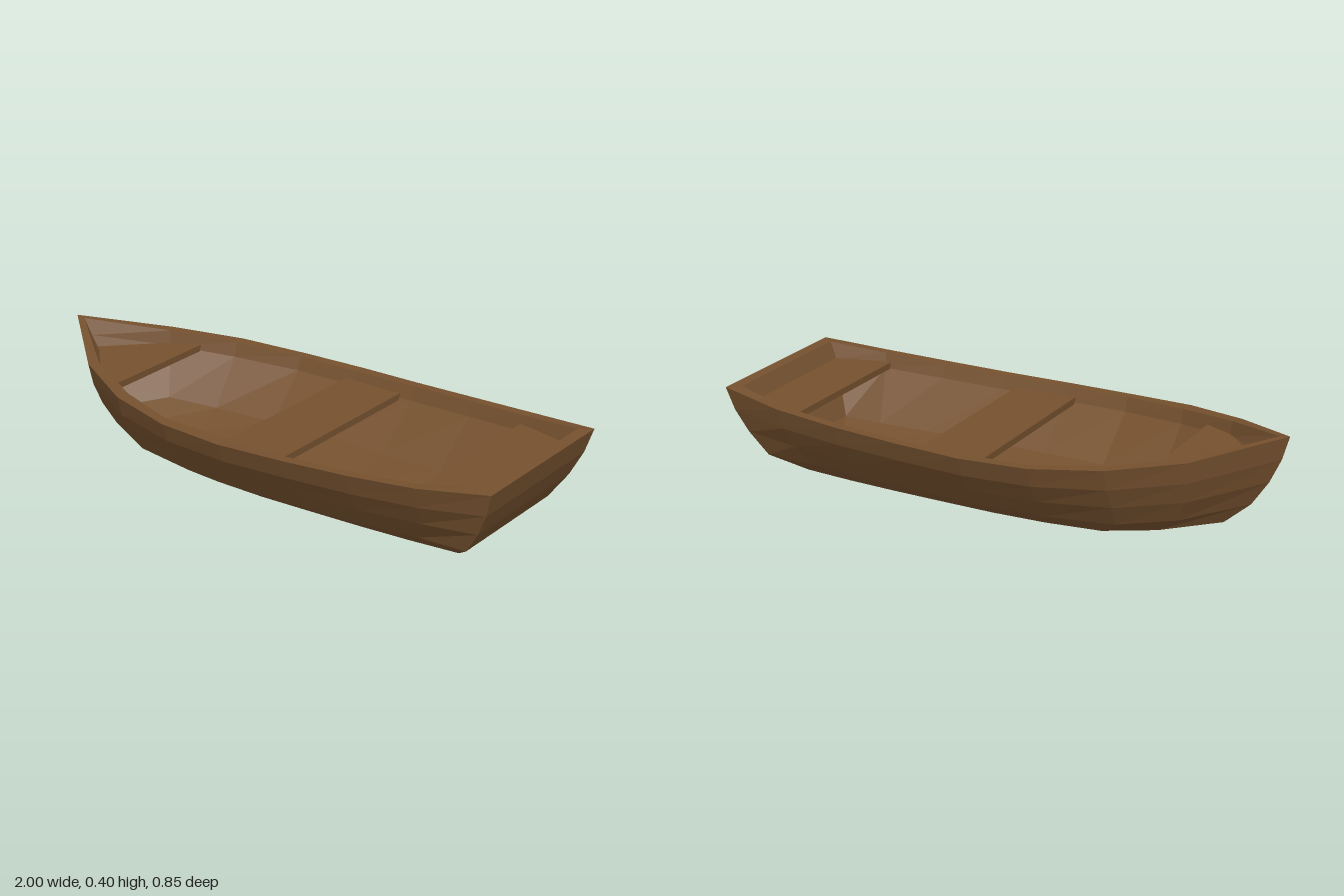
import * as THREE from 'three';

const wood = new THREE.MeshStandardMaterial({ color: 0x74502e, flatShading: true, side: THREE.DoubleSide });

// Stations from bow to stern: [x, half width, rail height, keel height]
const OUTER = [
  [-1, 0, 0.395, 0.05], [-0.74, 0.235, 0.335, 0.02], [-0.5, 0.355, 0.306, 0],
  [-0.25, 0.412, 0.287, 0], [0, 0.427, 0.283, 0], [0.25, 0.415, 0.288, 0],
  [0.5, 0.4, 0.297, 0], [0.75, 0.375, 0.311, 0], [1, 0.325, 0.337, 0],
];
const INNER = [
  [-0.965, 0, 0.39, 0.09], [-0.72, 0.2, 0.335, 0.065], [-0.49, 0.308, 0.306, 0.05],
  [-0.245, 0.375, 0.287, 0.045], [0, 0.385, 0.283, 0.045], [0.25, 0.379, 0.288, 0.045],
  [0.5, 0.365, 0.297, 0.045], [0.74, 0.338, 0.311, 0.045], [0.955, 0.29, 0.337, 0.045],
];

// Levels from rail to keel: [height share, width share, width share at stern,
// x scale amidships, x scale near the ends, x scale at the ends]
const OUTER_LEVELS = [
  [1, 1, 1, 1, 1, 1], [0.75, 0.937, 0.955, 1, 0.99, 0.975], [0.5, 0.82, 0.885, 1, 0.97, 0.935],
  [0.24, 0.68, 0.795, 0.98, 0.92, 0.875], [0, 0.433, 0.446, 0.8, 0.79, 0.78],
];
const INNER_LEVELS = [
  [1, 1, 1, 1, 1, 1], [0.8, 0.95, 0.95, 1, 0.99, 0.965],
  [0.18, 0.53, 0.6, 0.97, 0.91, 0.86], [0, 0.16, 0.2, 0.95, 0.85, 0.8],
];

// One U-shaped row per station, from the +z rail under the keel to the -z rail
function sections(stations, levels) {
  return stations.map(([x, w, top, low], i) => {
    const end = Math.min(i, stations.length - 1 - i);
    const stern = i === stations.length - 1;
    const half = levels.map((l) => [
      x * (end === 0 ? l[5] : end === 1 ? l[4] : l[3]),
      low + (top - low) * l[0],
      w * (stern ? l[2] : l[1]),
    ]);
    return [...half, ...half.map(([a, b, c]) => [a, b, -c]).reverse()];
  });
}

function mesh(name, quads) {
  const positions = quads.flatMap(([a, b, c, d]) => [a, b, c, a, c, d]).flat();
  const geometry = new THREE.BufferGeometry();
  geometry.setAttribute('position', new THREE.Float32BufferAttribute(positions, 3));
  geometry.computeVertexNormals();
  const m = new THREE.Mesh(geometry, wood);
  m.name = name;
  return m;
}

// Skin over the rows plus a flat-stepped stern wall
function shell(name, rows, inward) {
  const quads = [];
  const add = (...q) => quads.push(inward ? q : q.reverse());
  for (let i = 0; i < rows.length - 1; i++) {
    for (let k = 0; k < rows[i].length - 1; k++) {
      add(rows[i][k], rows[i + 1][k], rows[i + 1][k + 1], rows[i][k + 1]);
    }
  }
  const s = rows[rows.length - 1], n = s.length - 1;
  for (let k = 0; k < s.length / 2 - 1; k++) add(s[k], s[n - k], s[n - k - 1], s[k + 1]);
  return mesh(name, quads);
}

// Flat top edge between the outer and inner shells
function rail(outer, inner) {
  const quads = [];
  const last = outer.length - 1;
  const left = (rows, i) => rows[i][0];
  const right = (rows, i) => rows[i][rows[i].length - 1];
  for (let i = 0; i < last; i++) {
    quads.push([left(outer, i), left(outer, i + 1), left(inner, i + 1), left(inner, i)]);
    quads.push([right(inner, i), right(inner, i + 1), right(outer, i + 1), right(outer, i)]);
  }
  quads.push([left(inner, last), left(outer, last), right(outer, last), right(inner, last)]);
  return mesh('rail', quads);
}

// Board from half an outline of [x, z] points, mirrored across the centre line
function plank(name, half, top, thickness = 0.024) {
  const outline = [...half, ...half.map(([x, z]) => [x, -z]).reverse()];
  const shape = new THREE.Shape(outline.map(([x, z]) => new THREE.Vector2(x, z)));
  const geometry = new THREE.ExtrudeGeometry(shape, { depth: thickness, bevelEnabled: false });
  geometry.rotateX(Math.PI / 2);
  const m = new THREE.Mesh(geometry, wood);
  m.name = name;
  m.position.y = top;
  return m;
}

export function createModel() {
  const boat = new THREE.Group();
  boat.name = 'rowingBoat';
  const outer = sections(OUTER, OUTER_LEVELS);
  const inner = sections(INNER, INNER_LEVELS);
  boat.add(
    shell('hull', outer, false),
    shell('lining', inner, true),
    rail(outer, inner),
    plank('bowSeat', [[-0.935, 0.004], [-0.725, 0.193], [-0.61, 0.25]], 0.29),
    plank('middleSeat', [[-0.04, 0.368], [0.2, 0.364]], 0.254),
    plank('sternSeat', [[0.715, 0.328], [0.945, 0.29]], 0.28),
  );
  return boat;
}
